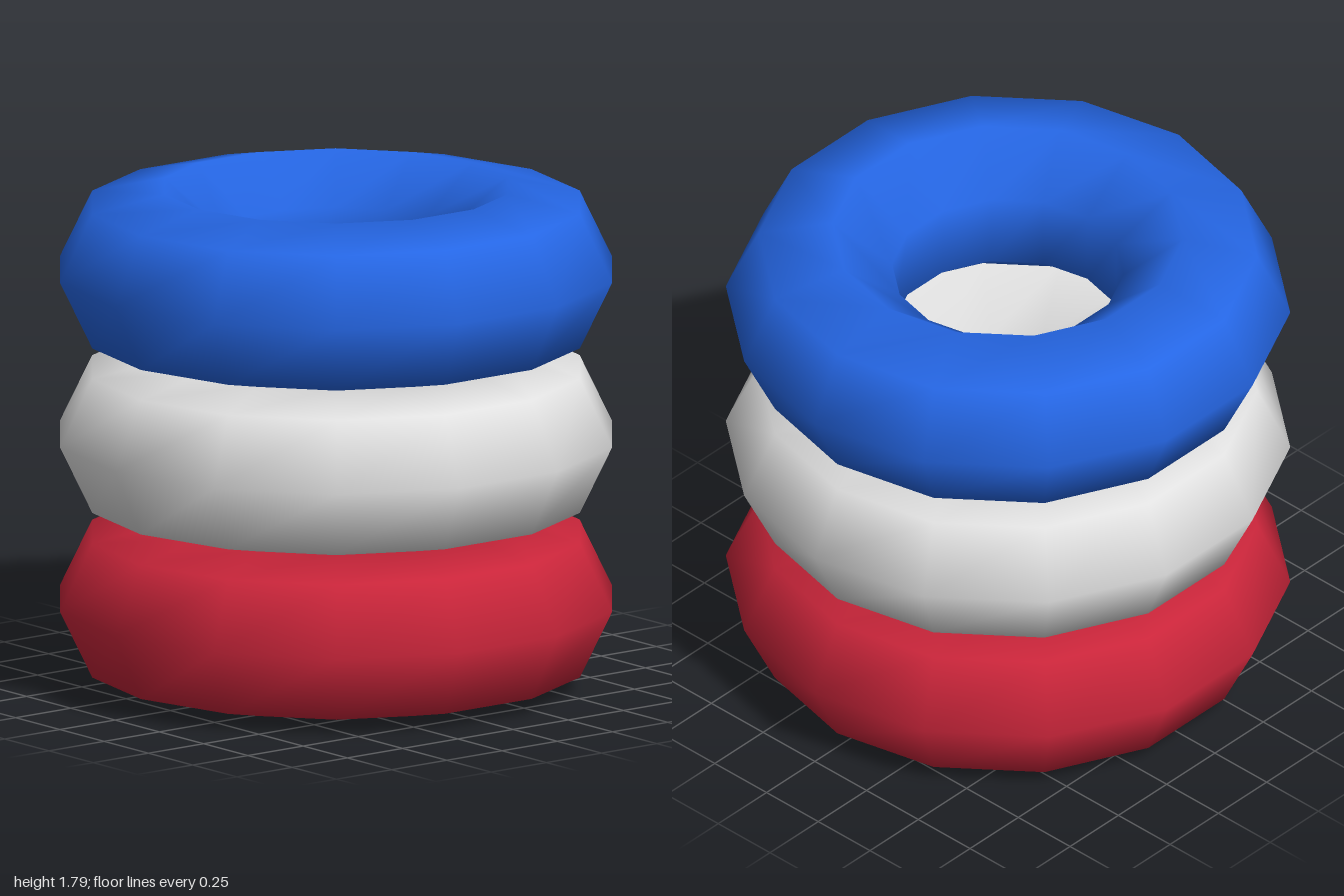
import * as THREE from 'three';

// A stack of three equal low-poly rings with smooth shading.
export function createModel() {
  const group = new THREE.Group();
  group.name = 'ringStack';

  const ringRadius = 0.69, tubeRadius = 0.31;
  const bottomY = 0.302, spacing = 0.595;

  // Seven-sided tube bent round in fourteen steps, laid flat
  const ring = new THREE.TorusGeometry(ringRadius, tubeRadius, 7, 14);
  ring.rotateX(-Math.PI / 2);

  const rings = [
    ['bottomRing', 'red', 0xc9253a],
    ['middleRing', 'white', 0xe0e0e0],
    ['topRing', 'blue', 0x2566e4],
  ];
  rings.forEach(([name, colorName, color], i) => {
    const material = new THREE.MeshStandardMaterial({ color });
    material.name = colorName;
    const mesh = new THREE.Mesh(ring, material);
    mesh.name = name;
    mesh.position.y = bottomY + i * spacing;
    group.add(mesh);
  });

  return group;
}
